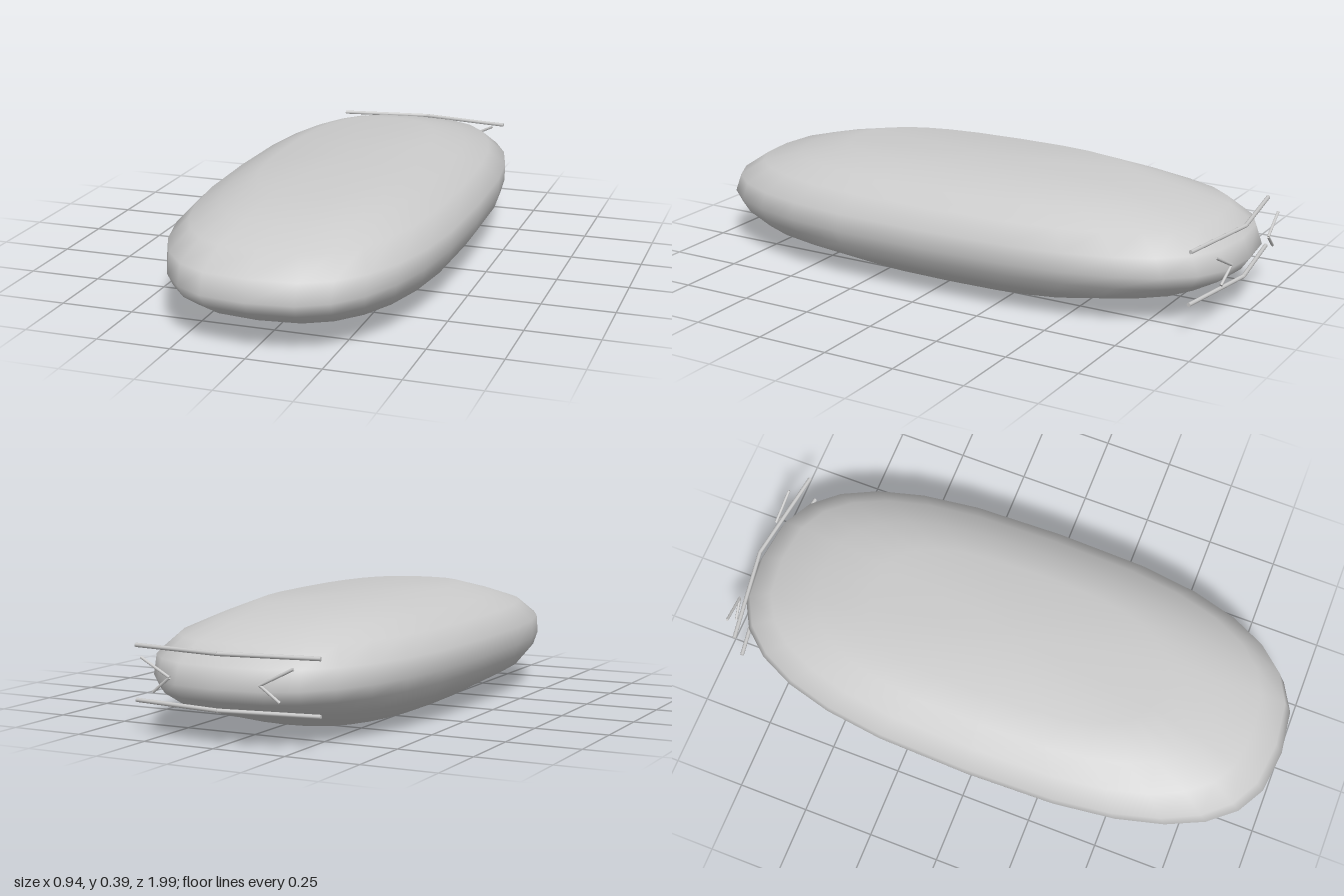
import * as THREE from 'three';

const material = new THREE.MeshStandardMaterial({ color: 0xcccccc });

// Horizontal rings of the hull: [height, half width, front z, back z]
const RINGS = [
  [0.0, 0.265, 0.57, -0.56],
  [0.085, 0.42, 0.89, -0.87],
  [0.135, 0.455, 0.97, -0.96],
  [0.18, 0.466, 1.0, -0.99],
  [0.245, 0.47, 0.97, -0.965],
  [0.305, 0.412, 0.88, -0.88],
  [0.345, 0.335, 0.73, -0.72],
  [0.387, 0.24, 0.54, -0.52],
];
const SIDES = 28;

function hullGeometry() {
  const positions = [];
  const index = [];
  // Rounded-oblong outline at each height
  const power = 2 / 2.7;
  for (const [y, w, front, back] of RINGS) {
    for (let i = 0; i < SIDES; i++) {
      const a = (i / SIDES) * Math.PI * 2;
      const s = Math.sin(a), c = Math.cos(a);
      const x = Math.sign(s) * Math.abs(s) ** power * w;
      const z = Math.abs(c) ** power * (c > 0 ? front : back);
      positions.push(x, y, z);
    }
  }
  for (let r = 0; r < RINGS.length - 1; r++) {
    for (let i = 0; i < SIDES; i++) {
      const a = r * SIDES + i, b = r * SIDES + (i + 1) % SIDES;
      index.push(a, b, b + SIDES, a, b + SIDES, a + SIDES);
    }
  }
  // Flat bottom and top
  const bottom = positions.length / 3;
  positions.push(0, RINGS[0][0], 0, 0, RINGS[RINGS.length - 1][0], 0);
  const last = (RINGS.length - 1) * SIDES;
  for (let i = 0; i < SIDES; i++) {
    const n = (i + 1) % SIDES;
    index.push(bottom, n, i, bottom + 1, last + i, last + n);
  }
  const geometry = new THREE.BufferGeometry();
  geometry.setAttribute('position', new THREE.Float32BufferAttribute(positions, 3));
  geometry.setIndex(index);
  geometry.computeVertexNormals();
  return geometry;
}

// Thin round rod between two points
function rod(from, to, radius) {
  const a = new THREE.Vector3(...from), b = new THREE.Vector3(...to);
  const direction = b.clone().sub(a);
  const mesh = new THREE.Mesh(
    new THREE.CylinderGeometry(radius, radius, direction.length(), 8), material);
  mesh.position.copy(a).add(b).multiplyScalar(0.5);
  mesh.quaternion.setFromUnitVectors(new THREE.Vector3(0, 1, 0), direction.normalize());
  return mesh;
}

export function createModel() {
  const model = new THREE.Group();
  model.name = 'roundedHull';

  const hull = new THREE.Mesh(hullGeometry(), material);
  hull.name = 'hull';
  model.add(hull);

  // Upper and lower bent bars across the back
  for (const [name, y] of [['upperBar', 0.287], ['lowerBar', 0.112]]) {
    const bar = new THREE.Group();
    bar.name = name;
    for (const side of [1, -1]) {
      bar.add(rod([0, y, -0.97], [0.33 * side, y, -0.92], 0.007));
    }
    model.add(bar);
  }

  // Small V-shaped brackets between the bars
  for (const side of [1, -1]) {
    const bracket = new THREE.Group();
    bracket.name = side > 0 ? 'leftBracket' : 'rightBracket';
    const corner = [0.16 * side, 0.205, -0.99];
    bracket.add(rod(corner, [0.27 * side, 0.26, -0.98], 0.005));
    bracket.add(rod(corner, [0.225 * side, 0.155, -0.983], 0.005));
    model.add(bracket);
  }

  return model;
}
